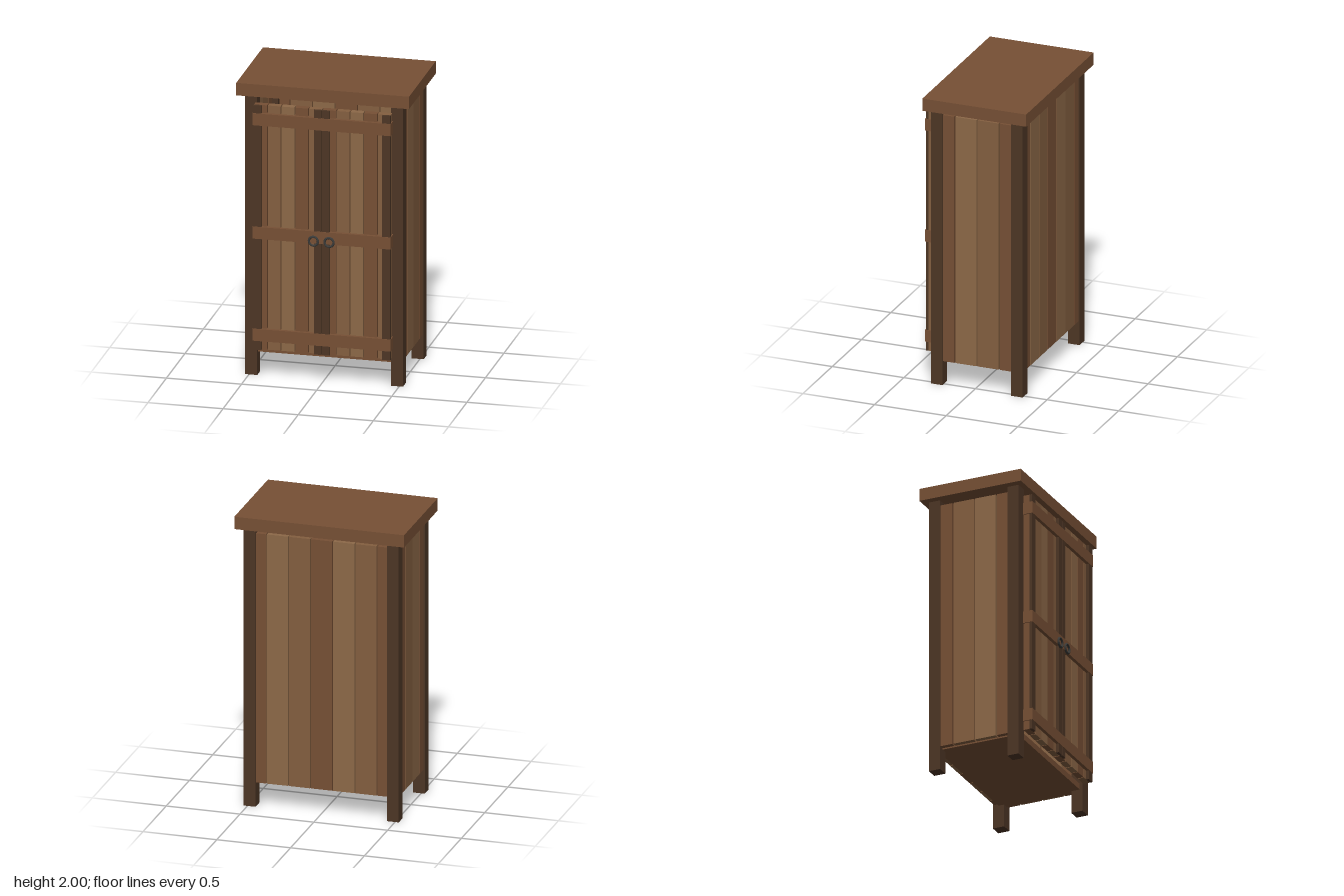
import * as THREE from 'three';

const mat = (color) => new THREE.MeshStandardMaterial({ color, flatShading: true });

export function createModel() {
  const model = new THREE.Group();
  model.name = 'cabinet';

  const darkWood = mat(0x4d3625);
  const brownWood = mat(0x775035);
  const woods = [brownWood, mat(0x845f40), mat(0x8d6948)];
  const iron = mat(0x3a3a38);

  // Box given by its lower and upper limits on each axis
  function box(parent, name, material, [x0, x1], [y0, y1], [z0, z1]) {
    const mesh = new THREE.Mesh(new THREE.BoxGeometry(x1 - x0, y1 - y0, z1 - z0), material);
    mesh.position.set((x0 + x1) / 2, (y0 + y1) / 2, (z0 + z1) / 2);
    mesh.name = name;
    parent.add(mesh);
    return mesh;
  }

  // Splits a span into planks with narrow gaps, cycling through the wood shades
  function planks(start, end, count, gap, place) {
    const pitch = (end - start) / count;
    for (let i = 0; i < count; i++) {
      const a = start + i * pitch;
      place([a + gap / 2, a + pitch - gap / 2], woods[i % 3]);
    }
  }

  // Frame: top board, legs, floor and shelves
  box(model, 'topBoard', brownWood, [-0.575, 0.575], [1.915, 2], [-0.385, 0.34]);
  for (const x of [-0.525, 0.445]) {
    for (const z of [-0.34, 0.22]) {
      box(model, 'leg', darkWood, [x, x + 0.08], [0, 1.915], [z, z + 0.08]);
    }
  }
  box(model, 'floor', brownWood, [-0.485, 0.485], [0.155, 0.197], [-0.3, 0.28]);
  for (const y of [0.787, 1.348]) {
    box(model, 'shelf', brownWood, [-0.485, 0.485], [y, y + 0.045], [-0.3, 0.26]);
  }

  // Plank walls
  const wallY = [0.165, 1.882];
  planks(-0.525, 0.525, 7, 0.006, (x, m) => {
    const span = [Math.max(x[0], -0.515), Math.min(x[1], 0.515)];
    box(model, 'backPlank', m, span, wallY, [-0.332, -0.3]);
  });
  for (const x of [[-0.517, -0.485], [0.485, 0.517]]) {
    planks(-0.328, 0.292, 4, 0.009, (z, m) => box(model, 'sidePlank', m, x, wallY, z));
  }

  // Doors: planks, stiles, rails and a ring handle each
  for (const side of [-1, 1]) {
    const door = new THREE.Group();
    door.name = side < 0 ? 'rightDoor' : 'leftDoor';
    model.add(door);
    const span = (a, b) => (side < 0 ? [-b, -a] : [a, b]);
    const doorY = [0.195, 1.865];

    planks(...span(0.001, 0.457), 5, 0.006, (x, m) =>
      box(door, 'doorPlank', m, x, doorY, [0.302, 0.346]));
    for (const [a, b] of [[0.001, 0.052], [0.402, 0.456]]) {
      box(door, 'doorStile', darkWood, span(a, b), doorY, [0.345, 0.365]);
    }
    for (const y of [0.257, 0.955, 1.73]) {
      box(door, 'doorRail', brownWood, span(0, 0.46), [y, y + 0.082], [0.3, 0.369]);
    }

    const ring = new THREE.Mesh(new THREE.TorusGeometry(0.03, 0.008, 8, 20), iron);
    ring.name = 'ringHandle';
    ring.position.set(side * 0.052, 0.973, 0.377);
    door.add(ring);
  }

  return model;
}
